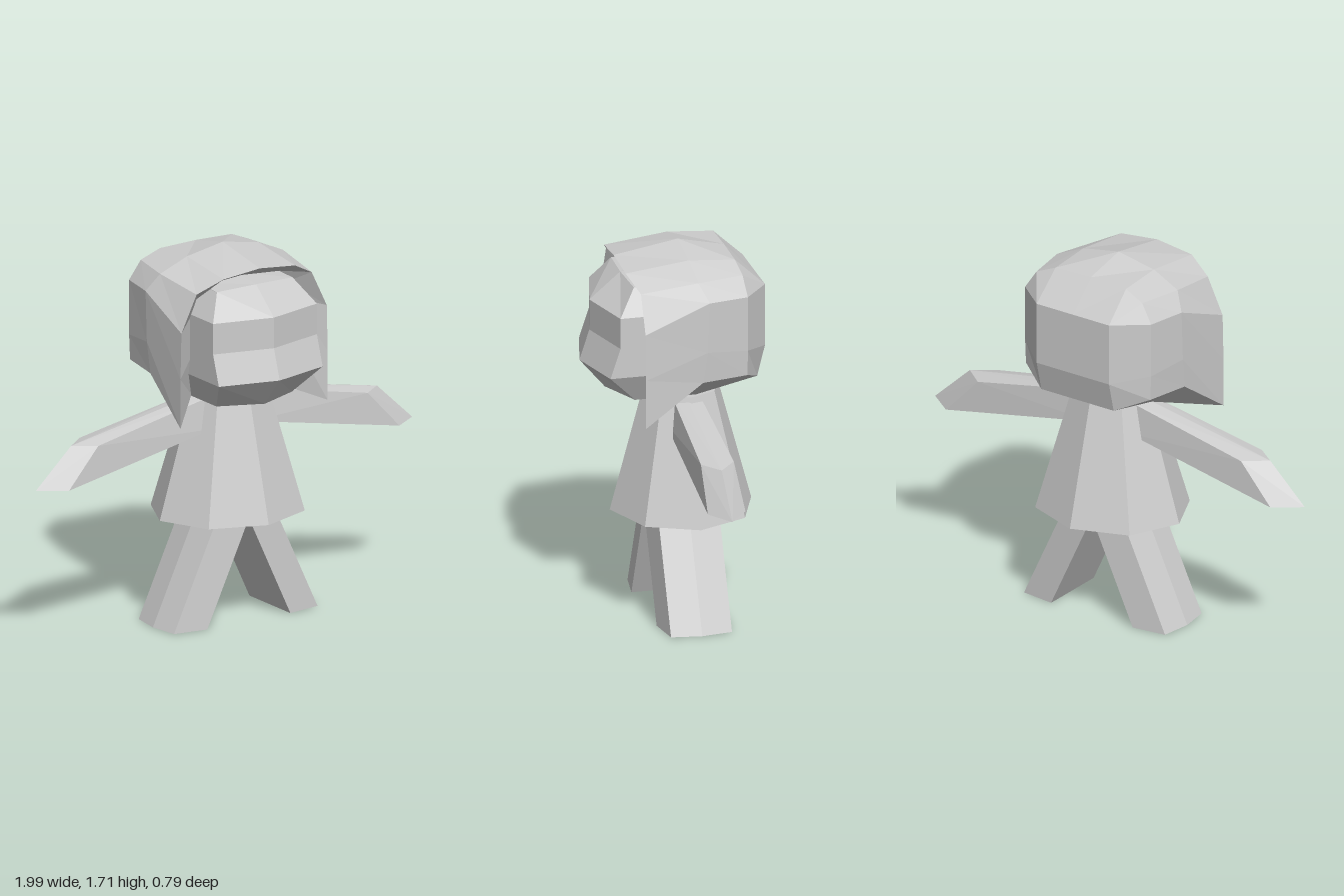
import * as THREE from 'three';
import { ConvexGeometry } from 'three/addons/geometries/ConvexGeometry.js';

const grey = new THREE.MeshStandardMaterial({ color: 0xcccccc, flatShading: true, side: THREE.DoubleSide });
grey.name = 'grey';

function addMesh(parent, name, geometry) {
  const mesh = new THREE.Mesh(geometry, grey);
  mesh.name = name;
  parent.add(mesh);
  return mesh;
}

// Faceted convex solid from its corners, with x multiplied by side
const solid = (points, side = 1) =>
  new ConvexGeometry(points.map(([x, y, z]) => new THREE.Vector3(x * side, y, z)));

// Surface through rows of points, built on both sides of x = 0
function mirroredLoft(rows) {
  const positions = [];
  const corners = [0, 1, 2, 3].map(() => new THREE.Vector3());
  const addTriangle = (a, b, c) => {
    const area = new THREE.Triangle(a, b, c).getArea();
    if (area > 1e-6) positions.push(...a.toArray(), ...b.toArray(), ...c.toArray());
  };
  for (const side of [1, -1]) {
    for (let r = 0; r < rows.length - 1; r++) {
      for (let i = 0; i < rows[r].length - 1; i++) {
        const quad = [rows[r][i], rows[r + 1][i], rows[r + 1][i + 1], rows[r][i + 1]];
        quad.forEach(([x, y, z], k) => corners[k].set(x * side, y, z));
        const [a, b, c, d] = side > 0 ? corners : [...corners].reverse();
        addTriangle(a, b, c);
        addTriangle(a, c, d);
      }
    }
  }
  const geometry = new THREE.BufferGeometry();
  geometry.setAttribute('position', new THREE.Float32BufferAttribute(positions, 3));
  geometry.computeVertexNormals();
  return geometry;
}

export function createModel() {
  const model = new THREE.Group();
  model.name = 'figure';

  // Dress: eight-sided flared skirt
  const dress = addMesh(model, 'dress', new THREE.CylinderGeometry(0.19, 0.36, 0.56, 8));
  dress.scale.z = 0.89;
  dress.position.set(0.03, 0.76, -0.055);

  for (const side of [1, -1]) {
    const label = side > 0 ? 'left' : 'right';

    // Leg: five-sided prism leaning inward
    const foot = [[0.22, 0.11], [0.38, 0.086], [0.4, -0.05], [0.38, -0.19], [0.22, -0.21]];
    const legPoints = foot.flatMap(([x, z]) => [[x, 0, z], [x - 0.27, 0.58, z]]);
    addMesh(model, label + 'Leg', solid(legPoints, side)).position.x = 0.03;

    // Arm: five-sided sleeve ending in a slanted wedge
    addMesh(model, label + 'Arm', solid([
      [0.1, 0.885, 0.03], [0.1, 1.03, 0.01], [0.1, 1.04, -0.045], [0.1, 1.03, -0.11], [0.1, 0.885, -0.125],
      [0.875, 0.735, 0.04], [0.714, 0.91, 0.03], [0.81, 0.91, -0.04], [0.71, 0.91, -0.12],
      [0.875, 0.735, -0.13], [0.997, 0.735, -0.04],
    ], side));
  }

  // Face: angular mask with a central crease
  addMesh(model, 'face', mirroredLoft([
    [[0, 1.59, 0.05], [0.2, 1.575, 0.05], [0.2, 1.575, 0.05]],
    [[0, 1.575, 0.21], [0.2, 1.57, 0.2], [0.2, 1.57, 0.05]],
    [[0, 1.457, 0.35], [0.275, 1.457, 0.28], [0.275, 1.457, 0.05]],
    [[0, 1.317, 0.35], [0.275, 1.317, 0.28], [0.275, 1.317, 0.05]],
    [[0, 1.18, 0.395], [0.275, 1.18, 0.325], [0.275, 1.18, 0.05]],
    [[0, 1.045, 0.28], [0.2, 1.045, 0.195], [0.2, 1.045, -0.08]],
    [[0, 1.045, -0.08], [0.2, 1.045, -0.08], [0.2, 1.045, -0.08]],
  ]));

  // Hair sections, each running from the crown down one side
  const inner = [[0, 1.59, 0.1], [0.2, 1.575, 0.1], [0.24, 1.52, 0.1], [0.275, 1.44, 0.1], [0.275, 1.25, 0.1], [0.2, 1.05, 0]];
  const front = [[0, 1.655, 0.24], [0.19, 1.635, 0.235], [0.305, 1.575, 0.195], [0.385, 1.41, 0.195], [0.39, 1.2, 0.195], [0.39, 0.975, 0.195]];
  const middle = [[0, 1.705, -0.05], [0.19, 1.67, -0.05], [0.325, 1.61, -0.06], [0.375, 1.53, -0.1], [0.375, 1.3, -0.09], [0.37, 1.16, -0.07]];
  const rear = [[0, 1.66, -0.26], [0.19, 1.655, -0.26], [0.285, 1.615, -0.27], [0.34, 1.53, -0.28], [0.34, 1.28, -0.28], [0.335, 1.165, -0.28]];
  const backTop = [0.195, 1.53, -0.395];
  const back = [[0, 1.53, -0.395], backTop, backTop, backTop, [0.195, 1.245, -0.395], [0.195, 1.105, -0.36]];
  const nape = [0.2, 1.045, -0.08];

  const hair = new THREE.Group();
  hair.name = 'hair';
  model.add(hair);
  addMesh(hair, 'hairShell', mirroredLoft([inner, front, middle, rear, back]));

  // Flat back of the hair, tucking under to the nape
  const backRows = [[1.53, -0.395], [1.245, -0.395], [1.105, -0.36], [1.045, -0.08]];
  addMesh(hair, 'hairBack', mirroredLoft(backRows.map(([y, z]) => [[0, y, z], [y < 1.1 ? 0.2 : 0.195, y, z]])));

  // Underside of the side locks and rear corners
  addMesh(hair, 'hairUnderside', mirroredLoft([
    [inner[5], front[5]], [nape, middle[5]], [back[5], rear[5]],
  ]));

  return model;
}
